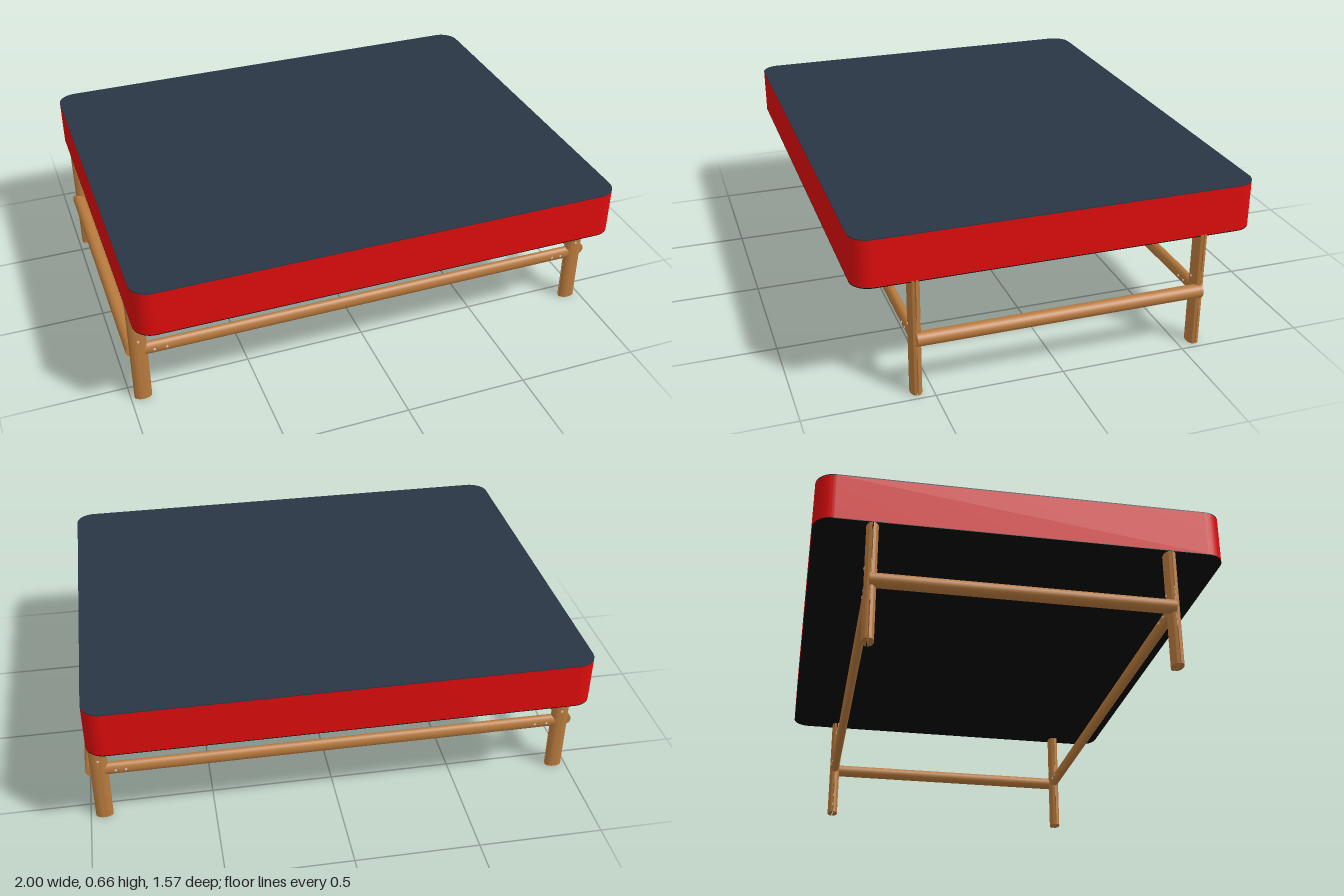
import * as THREE from 'three';
import { toCreasedNormals } from 'three/addons/utils/BufferGeometryUtils.js';

const mat = (color) => new THREE.MeshStandardMaterial({ color });
const wood = mat(0xb87a3d), red = mat(0xdd0c0c), navy = mat(0x2a3646), black = mat(0x050505), steel = mat(0xcccccc);

function addMesh(parent, name, geometry, material, x = 0, y = 0, z = 0) {
  const mesh = new THREE.Mesh(geometry, material);
  mesh.name = name;
  mesh.position.set(x, y, z);
  parent.add(mesh);
  return mesh;
}

// Extrudes a plan shape upwards from y = 0
function upright(shape, height) {
  const g = new THREE.ExtrudeGeometry(shape, { depth: height, bevelEnabled: false, curveSegments: 14 });
  g.rotateX(-Math.PI / 2);
  return toCreasedNormals(g, 0.6);
}

function roundedRect(w, d, r) {
  const s = new THREE.Shape();
  s.absarc(w / 2 - r, d / 2 - r, r, 0, Math.PI / 2);
  s.absarc(-w / 2 + r, d / 2 - r, r, Math.PI / 2, Math.PI);
  s.absarc(-w / 2 + r, -d / 2 + r, r, Math.PI, Math.PI * 1.5);
  s.absarc(w / 2 - r, -d / 2 + r, r, Math.PI * 1.5, Math.PI * 2);
  s.closePath();
  return s;
}

// Leg split lengthwise into two half-round staves around the joint
function makeLeg() {
  const leg = new THREE.Group();
  const half = new THREE.Shape();
  half.absellipse(0, 0, 0.035, 0.021, 0, Math.PI, false, 0);
  half.closePath();
  const geometry = upright(half, 0.475);
  addMesh(leg, 'backStave', geometry, wood, 0, 0, -0.002);
  addMesh(leg, 'frontStave', geometry, wood, 0, 0, 0.002).rotation.y = Math.PI;
  addMesh(leg, 'jointSpacer', new THREE.BoxGeometry(0.066, 0.17, 0.006), wood, 0, 0.235, 0);
  // screw heads above the joint, front and back
  for (const s of [1, -1]) {
    const screw = addMesh(leg, 'screw', new THREE.CylinderGeometry(0.005, 0.005, 0.004, 12), steel, 0, 0.29, s * 0.023);
    screw.rotation.x = Math.PI / 2;
  }
  return leg;
}

export function createModel() {
  const model = new THREE.Group();
  model.name = 'lowTable';

  // Rounded slab: red body between a navy top and a black underside
  const slab = new THREE.Group();
  slab.name = 'slab';
  model.add(slab);
  const plan = roundedRect(1.96, 1.565, 0.075);
  addMesh(slab, 'underside', upright(plan, 0.003), black, -0.005, 0.47, 0);
  addMesh(slab, 'body', upright(plan, 0.183), red, -0.005, 0.473, 0);
  addMesh(slab, 'top', upright(plan, 0.004), navy, -0.005, 0.656, 0);

  // Legs and long rails
  const railY = 0.235;
  for (const [end, z] of [['front', 0.562], ['back', -0.566]]) {
    for (const [side, x] of [['Left', 0.945], ['Right', -0.95]]) {
      const leg = makeLeg();
      leg.name = end + side + 'Leg';
      leg.position.set(x, 0, z);
      model.add(leg);
    }
    const rail = new THREE.CylinderGeometry(0.0275, 0.0275, 1.86, 24).rotateZ(Math.PI / 2);
    rail.scale(1, 1, 0.7);
    addMesh(model, end + 'Rail', rail, wood, 0, railY, z);
    // paired screws near each rail end
    for (const x of [-0.89, -0.84, 0.84, 0.88]) {
      const g = new THREE.CylinderGeometry(0.005, 0.005, 0.042, 12).rotateX(Math.PI / 2);
      addMesh(model, 'railScrew', g, steel, x, railY, z);
    }
  }

  // Round side rails, notched into the outer edges of the legs
  for (const [side, x] of [['left', 0.9725], ['right', -0.9725]]) {
    const rail = new THREE.CylinderGeometry(0.0275, 0.0275, 1.135, 24).rotateX(Math.PI / 2);
    addMesh(model, side + 'Rail', rail, wood, x, railY, -0.005);
  }
  return model;
}
